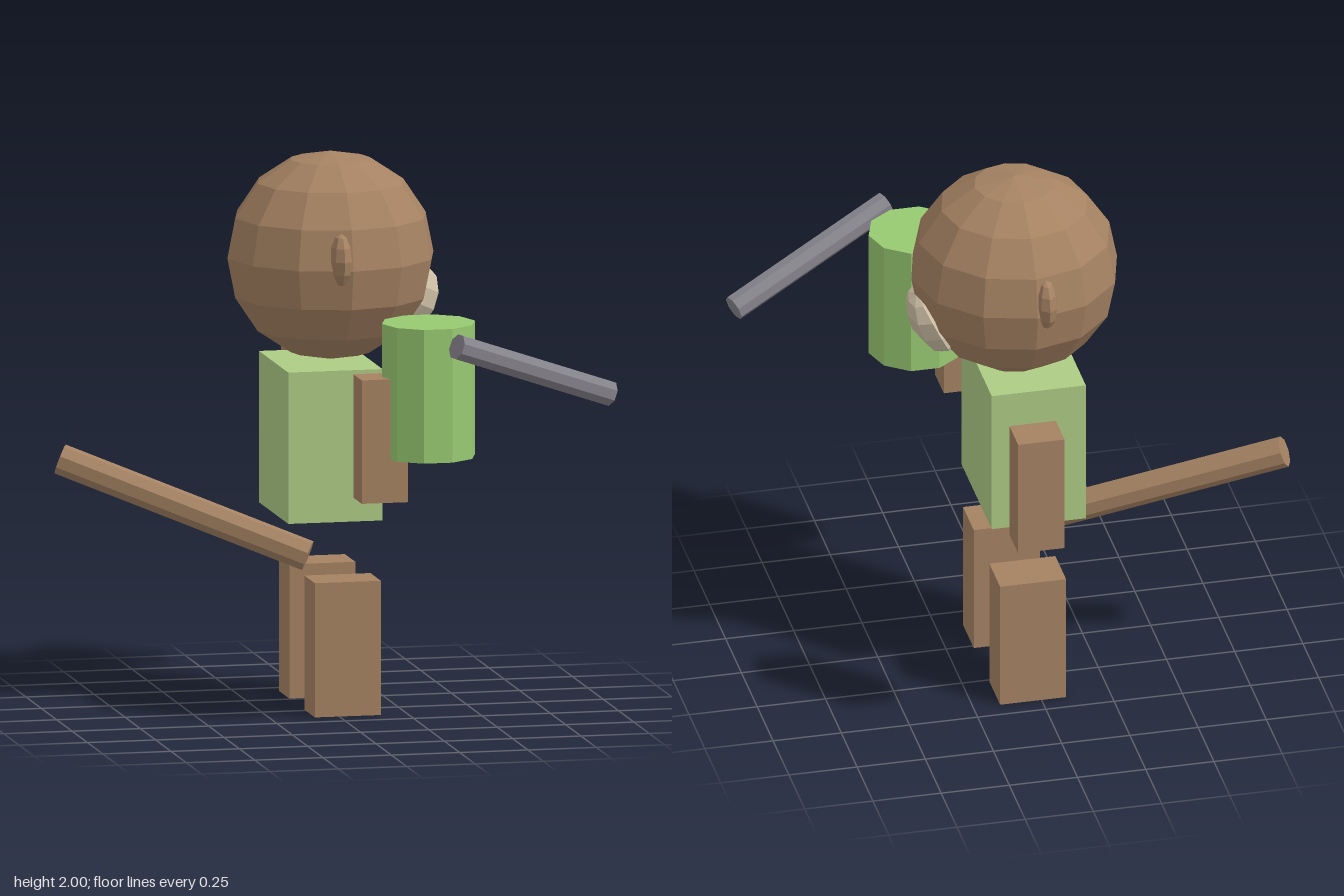
import * as THREE from 'three';

const mat = (name, color) => {
  const m = new THREE.MeshStandardMaterial({ color, flatShading: true });
  m.name = name;
  return m;
};

export function createModel() {
  const brown = mat('brown fur', 0xa58262);
  const beige = mat('beige muzzle', 0xcdbfa6);
  const lightGreen = mat('light green shirt', 0xadcb84);
  const green = mat('green barrel', 0x97c971);
  const grey = mat('grey metal', 0x85838a);

  const model = new THREE.Group();
  const add = (name, geometry, material, x, y, z) => {
    const mesh = new THREE.Mesh(geometry, material);
    mesh.name = name;
    mesh.position.set(x, y, z);
    model.add(mesh);
    return mesh;
  };

  // Box given by its lower and upper corners
  const box = (name, material, [x0, y0, z0], [x1, y1, z1]) =>
    add(name, new THREE.BoxGeometry(x1 - x0, y1 - y0, z1 - z0), material,
      (x0 + x1) / 2, (y0 + y1) / 2, (z0 + z1) / 2);

  // Eight-sided rod between two points
  const rod = (name, material, radius, from, to) => {
    const a = new THREE.Vector3(...from), b = new THREE.Vector3(...to);
    const mid = a.clone().add(b).multiplyScalar(0.5);
    const mesh = add(name, new THREE.CylinderGeometry(radius, radius, a.distanceTo(b), 8),
      material, mid.x, mid.y, mid.z);
    mesh.quaternion.setFromUnitVectors(new THREE.Vector3(0, 1, 0), b.sub(a).normalize());
  };

  const midZ = -0.14; // the body's own centre plane

  // Head, ears and muzzle; the face looks towards +x
  add('head', new THREE.SphereGeometry(0.377, 12, 8), brown, 0.033, 1.623, midZ);
  for (const s of [1, -1]) {
    const ear = add(s > 0 ? 'frontEar' : 'backEar', new THREE.SphereGeometry(1, 8, 6),
      brown, -0.005, 1.66, midZ + s * 0.34);
    ear.scale.set(0.041, 0.096, 0.07);
  }
  const muzzle = add('muzzle', new THREE.SphereGeometry(1, 8, 6), beige, 0.335, 1.455, midZ);
  muzzle.scale.set(0.08, 0.125, 0.162);
  muzzle.rotation.z = -0.47;

  // Torso, arms and legs
  box('torso', lightGreen, [-0.175, 0.695, -0.377], [0.17, 1.243, 0.1]);
  box('frontArm', brown, [0, 0.83, 0.38], [0.17, 1.277, 0.518]);
  box('backArm', brown, [0, 0.83, -0.795], [0.17, 1.277, -0.657]);
  box('frontLeg', brown, [-0.09, 0, -0.016], [0.152, 0.486, 0.154]);
  box('backLeg', brown, [-0.09, 0, -0.432], [0.152, 0.486, -0.262]);

  // Tail
  rod('tail', brown, 0.056, [-0.064, 0.547, -0.075], [-0.902, 0.878, -0.382]);

  // Ten-sided barrel and the metal rod beside it
  const barrel = add('barrel', new THREE.CylinderGeometry(0.17, 0.17, 0.484, 10), green, 0.257, 1.227, 0.46);
  barrel.rotation.y = Math.PI / 2;
  rod('metalRod', grey, 0.047, [0.298, 1.425, 0.742], [0.907, 1.197, 0.522]);

  return model;
}
